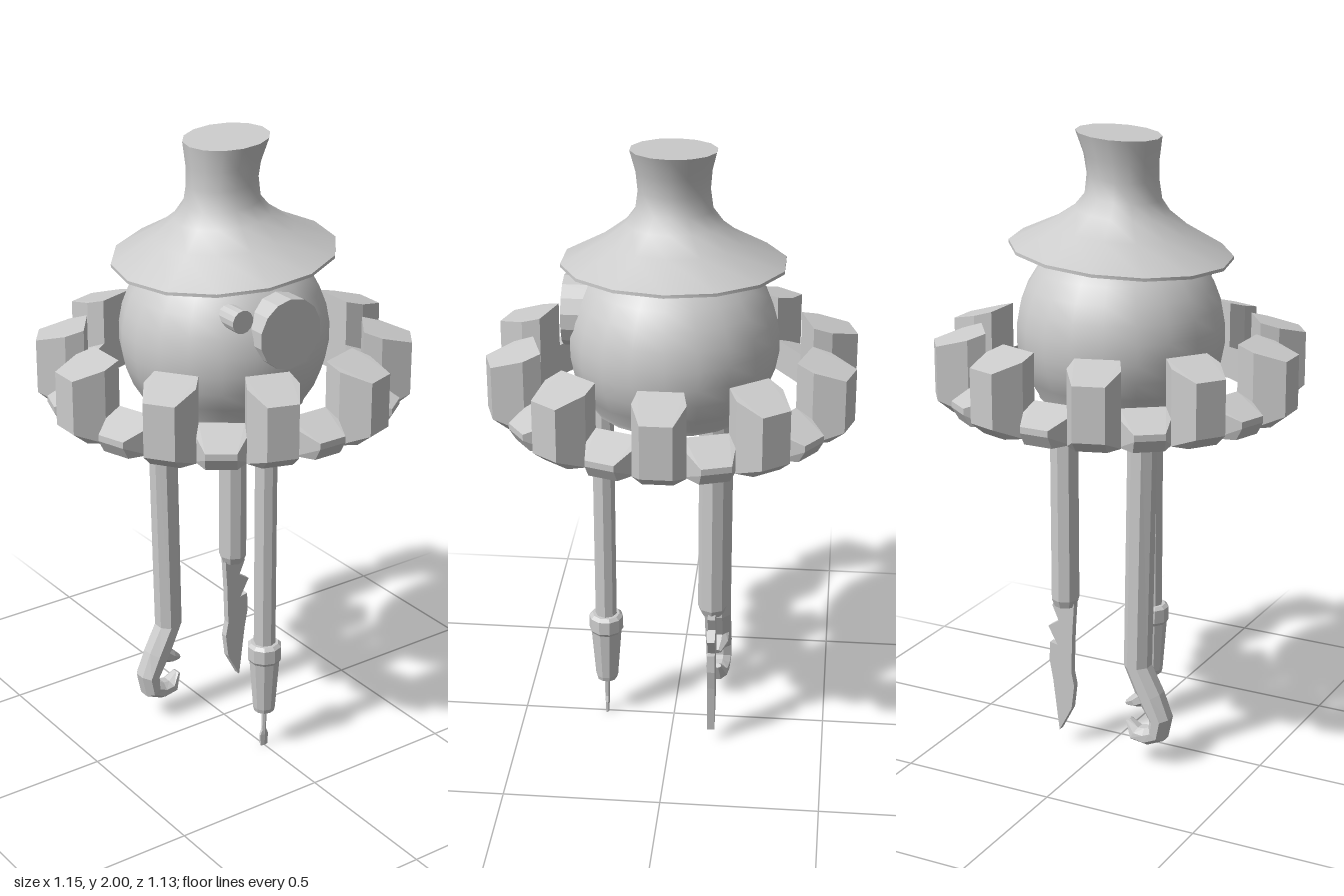
import * as THREE from 'three';
import { toCreasedNormals } from 'three/addons/utils/BufferGeometryUtils.js';
import { ConvexGeometry } from 'three/addons/geometries/ConvexGeometry.js';

const smooth = new THREE.MeshStandardMaterial({ color: 0xcccccc });
const flat = new THREE.MeshStandardMaterial({ color: 0xcccccc, flatShading: true });

function add(parent, name, geometry, material, x = 0, y = 0, z = 0) {
  const mesh = new THREE.Mesh(geometry, material);
  mesh.name = name;
  mesh.position.set(x, y, z);
  parent.add(mesh);
  return mesh;
}

// Profile points are [radius, y], listed from the bottom up
function lathe(points, sides) {
  return new THREE.LatheGeometry(points.map(([r, y]) => new THREE.Vector2(r, y)), sides);
}

// Bar swept in the xy plane; stations are [x, y, half width, half depth]
function sweep(stations, sides = 8) {
  const rings = stations.map(([x, y, w, d], i) => {
    const a = stations[Math.max(i - 1, 0)];
    const b = stations[Math.min(i + 1, stations.length - 1)];
    const t = new THREE.Vector2(b[0] - a[0], b[1] - a[1]).normalize();
    return Array.from({ length: sides }, (_, j) => {
      const ang = ((j + 0.5) / sides) * Math.PI * 2;
      const n = (Math.cos(ang) * w) / Math.cos(Math.PI / sides);
      const z = (Math.sin(ang) * d) / Math.cos(Math.PI / sides);
      return [x - t.y * n, y + t.x * n, z];
    });
  });
  const out = [];
  const last = rings.length - 1;
  for (let j = 0; j < sides; j++) {
    const k = (j + 1) % sides;
    for (let i = 0; i < last; i++) {
      const [p, q] = [rings[i], rings[i + 1]];
      out.push(...p[j], ...p[k], ...q[j], ...p[k], ...q[k], ...q[j]);
    }
    if (j > 0 && j < sides - 1) {
      out.push(...rings[0][0], ...rings[0][k], ...rings[0][j]);
      out.push(...rings[last][0], ...rings[last][j], ...rings[last][k]);
    }
  }
  const g = new THREE.BufferGeometry();
  g.setAttribute('position', new THREE.Float32BufferAttribute(out, 3));
  g.computeVertexNormals();
  return g;
}

// One ring tooth: a faceted wedge pointing along +x
function toothGeometry(tall) {
  const inner = 0.432;
  const side = tall ? 0.49 : 0.478;
  const outer = tall ? 0.578 : 0.553;
  const top = tall ? 1.4 : 1.255;
  const lip = tall ? 1.36 : 1.21;
  const pts = [];
  for (const s of [-1, 1]) {
    const put = (r, deg, y) => {
      const a = (s * deg * Math.PI) / 180;
      pts.push(new THREE.Vector3(r * Math.cos(a), y, r * Math.sin(a)));
    };
    put(inner, 9, 1.15);
    put(inner, 9, top);
    put(side, 9.4, 1.15);
    put(side, 9.4, top - (top - lip) * 0.4);
    put(0.53, 5, 1.15);
    put(outer, 4.8, 1.19);
    put(outer, 4.8, lip);
  }
  return new ConvexGeometry(pts);
}

export function createModel() {
  const model = new THREE.Group();
  model.name = 'robot';

  // Round body with a flat underside
  const bodyProfile = [[0, 1.17], [0.255, 1.17]];
  for (let i = 0; i <= 12; i++) {
    const a = -0.65 + (i / 12) * (Math.PI / 2 + 0.65);
    bodyProfile.push([0.325 * Math.cos(a), 1.38 + 0.325 * Math.sin(a)]);
  }
  add(model, 'body', toCreasedNormals(lathe(bodyProfile, 20), 0.7), smooth);

  // Hat: flared crown, slanted brim and a slight lean
  const hat = lathe([[0, 1.628], [0.345, 1.628], [0.345, 1.638], [0.22, 1.705], [0.15, 1.757],
    [0.118, 1.8], [0.11, 1.86], [0.115, 1.92], [0.132, 1.99], [0, 1.99]], 14);
  hat.rotateY(Math.PI / 2);
  const p = hat.attributes.position;
  for (let i = 0; i < p.count; i++) {
    const x = p.getX(i), y = p.getY(i);
    const up = Math.max(0, y - 1.8) / 0.19;
    p.setX(i, x - 0.008 * Math.min(1, (y - 1.628) / 0.17) + 0.016 * up * up);
    p.setY(i, y + 0.08 * x);
  }
  add(model, 'hat', toCreasedNormals(hat, 0.75), smooth);

  // Eyes
  const eye = (name, r, x, y, front) => {
    const g = new THREE.CylinderGeometry(r, r, 0.2, 14);
    g.rotateX(Math.PI / 2);
    add(model, name, g, flat, x, y, front - 0.1);
  };
  eye('largeEye', 0.11, 0.005, 1.47, 0.335);
  eye('smallEye', 0.036, -0.14, 1.527, 0.295);

  // Ring of alternating tall and low teeth
  const ring = new THREE.Group();
  ring.name = 'toothedRing';
  model.add(ring);
  const teeth = [toothGeometry(true), toothGeometry(false)];
  for (let i = 0; i < 20; i++) {
    const tooth = add(ring, i % 2 ? 'lowTooth' : 'tallTooth', teeth[i % 2], flat);
    tooth.rotation.y = (i * Math.PI) / 10;
  }

  // Drill arm: rod, chuck and flat-tipped bit
  const drill = new THREE.Group();
  drill.name = 'drillArm';
  drill.position.set(0, 0, 0.225);
  model.add(drill);
  add(drill, 'drillRod', new THREE.CylinderGeometry(0.035, 0.035, 0.82, 8), flat, 0, 0.78, 0);
  add(drill, 'drillChuck', lathe([[0, 0.135], [0.033, 0.135], [0.037, 0.15], [0.05, 0.32],
    [0.056, 0.33], [0.056, 0.375], [0.045, 0.385], [0, 0.385]], 10), flat);
  add(drill, 'drillBit', sweep([[0, 0.15, 0.007, 0.007], [0, 0.06, 0.007, 0.007],
    [0, 0.04, 0.015, 0.006], [0, 0, 0.013, 0.005]], 6), flat);

  // Blade arm: handle and notched blade
  const blade = new THREE.Group();
  blade.name = 'bladeArm';
  blade.position.set(0, 0, -0.135);
  model.add(blade);
  add(blade, 'bladeHandle', lathe([[0, 0.485], [0.036, 0.485], [0.046, 0.51],
    [0.046, 1.17], [0, 1.17]], 8), flat, 0.13);
  const outline = [[0.093, 0.5], [0.1, 0.4], [0.105, 0.26], [0.095, 0.21], [0.105, 0.13],
    [0.15, 0.045], [0.172, 0.22], [0.185, 0.29], [0.182, 0.35], [0.155, 0.345],
    [0.188, 0.405], [0.15, 0.43], [0.172, 0.48], [0.165, 0.5]];
  const bladeShape = new THREE.Shape(outline.map(([x, y]) => new THREE.Vector2(x, y)));
  add(blade, 'blade', new THREE.ExtrudeGeometry(bladeShape,
    { depth: 0.024, bevelEnabled: false }), flat, 0, 0, -0.012);

  // Claw arm: leaning bar that curls into an open claw
  const claw = new THREE.Group();
  claw.name = 'clawArm';
  claw.position.set(0, 0, -0.135);
  model.add(claw);
  add(claw, 'clawBar', sweep([[-0.145, 1.17, 0.043, 0.043], [-0.13, 0.33, 0.041, 0.043],
    [-0.178, 0.23, 0.041, 0.043], [-0.213, 0.16, 0.034, 0.043], [-0.204, 0.11, 0.032, 0.043],
    [-0.167, 0.093, 0.028, 0.04], [-0.125, 0.095, 0.026, 0.034],
    [-0.098, 0.135, 0.008, 0.015]]), flat);
  add(claw, 'clawProng', sweep([[-0.175, 0.24, 0.035, 0.04], [-0.13, 0.21, 0.022, 0.036],
    [-0.095, 0.193, 0.009, 0.015]]), flat);

  return model;
}
